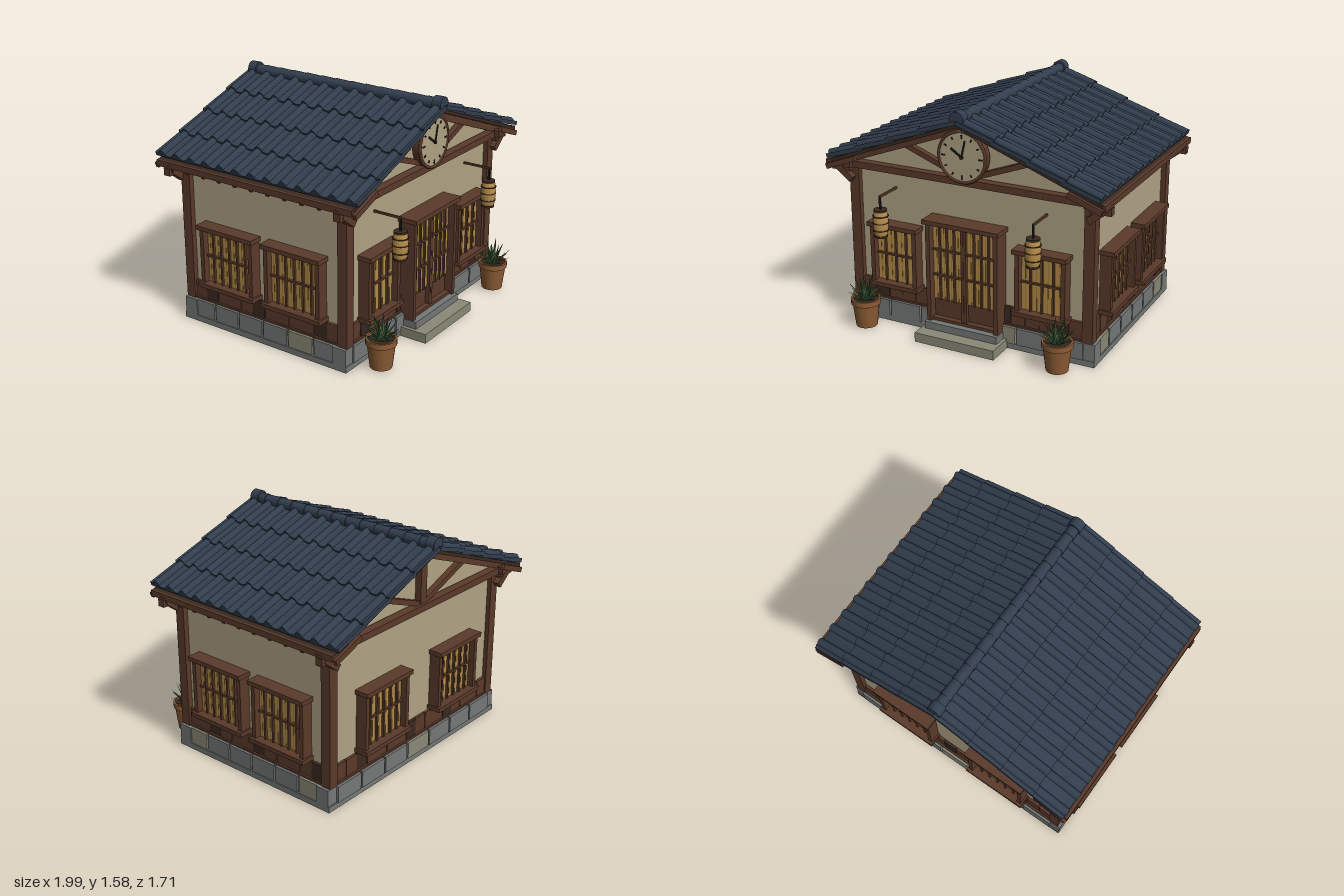
import * as THREE from 'three';
import { toCreasedNormals } from 'three/addons/utils/BufferGeometryUtils.js';

const mat = (color, side = THREE.FrontSide) => new THREE.MeshStandardMaterial({ color, side });
const M = {
  wood: mat(0x5a3a2a), dark: mat(0x3a291f), plaster: mat(0xb0a384), glass: mat(0xb48c46), glassLine: mat(0x8f6c36),
  stone: mat(0x747876), stoneLight: mat(0x8a8977), tile: mat(0x323e4e), pot: mat(0x8c5c34),
  soil: mat(0x33271d), leaf: mat(0x3f5f3a, THREE.DoubleSide), black: mat(0x1f1c1a), paper: mat(0xb98f4c),
};
const ZC = -0.06, SLOPE = Math.atan(0.375);

function add(parent, name, geo, m, x = 0, y = 0, z = 0) {
  const mesh = new THREE.Mesh(geo, m);
  mesh.name = name;
  mesh.position.set(x, y, z);
  parent.add(mesh);
  return mesh;
}
const box = (p, name, m, w, h, d, x, y, z) => add(p, name, new THREE.BoxGeometry(w, h, d), m, x, y, z);
function group(parent, name, x = 0, y = 0, z = 0, ry = 0) {
  const g = new THREE.Group();
  g.name = name;
  g.position.set(x, y, z);
  g.rotation.y = ry;
  parent.add(g);
  return g;
}
// Board between two points of an x-y plane
function beam(p, name, m, [x0, y0], [x1, y1], t, d, z) {
  const b = box(p, name, m, Math.hypot(x1 - x0, y1 - y0), t, d, (x0 + x1) / 2, (y0 + y1) / 2, z);
  b.rotation.z = Math.atan2(y1 - y0, x1 - x0);
  return b;
}

// Lattice of thin bars over a lit pane
function lattice(p, w, h, x, y, z, cols, rows) {
  box(p, 'pane', M.glass, w, h, 0.02, x, y, z);
  for (let i = 1; i < cols; i++) box(p, 'verticalBar', M.wood, 0.013, h, 0.02, x - w / 2 + (w * i) / cols, y, z + 0.015);
  for (let i = 0; i < cols; i++) box(p, 'paneSeam', M.glassLine, 0.004, h, 0.004, x - w / 2 + (w * (i + 0.5)) / cols, y, z + 0.01);
  for (let j = 1; j < rows; j++) box(p, 'horizontalBar', M.wood, w, 0.013, 0.018, x, y - h / 2 + (h * j) / rows, z + 0.017);
}

function windowUnit(wall, x, w, y0 = 0.29, y1 = 0.725, cols = 6) {
  const g = group(wall, 'window', x), h = y1 - y0, cy = (y0 + y1) / 2;
  lattice(g, w - 0.06, h - 0.04, 0, cy, 0.025, cols, 2);
  for (const s of [-1, 1]) box(g, 'jamb', M.wood, 0.03, h - 0.02, 0.08, s * (w / 2 - 0.028), cy, 0.04);
  box(g, 'header', M.wood, w, 0.03, 0.1, 0, y1 - 0.015, 0.05);
  box(g, 'sill', M.wood, w, 0.03, 0.1, 0, y0 + 0.015, 0.05);
}

// Stone course and plank skirting along one wall
function skirting(wall, w, stones, planks, seed) {
  const sw = (w + 0.03) / stones, pw = w / planks;
  for (let i = 0; i < stones; i++)
    box(wall, 'baseStone', (i * 3 + seed) % 5 === 4 ? M.stoneLight : M.stone, sw - 0.014, 0.115, 0.03, (i - (stones - 1) / 2) * sw, 0.0975, 0.033);
  for (let i = 0; i < planks; i++)
    box(wall, 'skirtingPlank', (i * 7 + seed) % 9 < 2 ? M.dark : M.wood, pw - 0.003, 0.125, 0.02, (i - (planks - 1) / 2) * pw, 0.222, 0.008 + (i % 2) * 0.003);
  box(wall, 'skirtingRail', M.wood, w, 0.012, 0.035, 0, 0.162, 0.014);
}

// Gable truss: tie beam, rafters, king post, braces and corner brackets
function truss(wall) {
  const g = group(wall, 'gableTruss');
  box(g, 'tieBeam', M.wood, 1.8, 0.045, 0.06, 0, 1.095, 0.04);
  box(g, 'kingPost', M.wood, 0.06, 0.34, 0.045, 0, 1.28, 0.028);
  for (const s of [-1, 1]) {
    beam(g, 'rafter', M.wood, [0, 1.45], [s * 0.98, 1.083], 0.05, 0.05, 0.035);
    beam(g, 'brace', M.wood, [s * 0.03, 1.12], [s * 0.44, 1.275], 0.035, 0.04, 0.026);
    beam(g, 'cornerBracket', M.wood, [s * 0.845, 0.985], [s * 0.96, 1.075], 0.045, 0.06, 0.045);
    box(g, 'beamEnd', M.wood, 0.14, 0.05, 0.05, s * 0.925, 1.065, 0.045);
  }
}

// Roof: wavy tile courses, deck, rafter tails and eave board for one slope
function roofSlope(root, s) {
  const side = group(root, 'roofSlope', 0, 1.5, ZC, s * Math.PI / 2);
  const pitch = group(side, 'pitchedRoof');
  pitch.rotation.x = SLOPE;
  const W = 1.59, P = 0.1235, R = 0.027;
  const shape = new THREE.Shape();
  shape.moveTo(-W / 2, -0.006);
  shape.lineTo(W / 2, -0.006);
  shape.lineTo(W / 2, 0.022);
  for (let i = 6; i >= -6; i--) {
    const u = i * P;
    for (let k = 0; k <= 6; k++) {
      const a = (Math.PI * k) / 6;
      shape.lineTo(u + R * Math.cos(a), 0.014 + R * Math.sin(a));
    }
    if (i > -6) shape.lineTo(u - P / 2, 0.004);
  }
  shape.lineTo(-W / 2, 0.022);
  for (let r = 0; r < 4; r++) {
    const geo = new THREE.ExtrudeGeometry(shape, { depth: r < 3 ? 0.272 : 0.257, bevelEnabled: false });
    const course = add(pitch, 'tileCourse', toCreasedNormals(geo, 0.7), M.tile, 0, 0, r * 0.255);
    course.rotation.x = -0.05;
  }
  box(pitch, 'roofDeck', M.dark, 1.54, 0.022, 1.05, 0, -0.017, 0.525);
  for (let i = -6; i <= 6; i++) box(pitch, 'rafterTail', M.wood, 0.025, 0.036, 0.24, i * 0.13, -0.046, 0.937);
  box(side, 'eaveBoard', M.wood, 1.54, 0.04, 0.045, 0, -0.39, 0.965);
  box(side, 'wallPlate', M.wood, 1.46, 0.05, 0.05, 0, -0.4, 0.855);
}

function clock(root) {
  const g = group(root, 'clock', 0, 1.268, 0.6);
  const disc = (name, r, d, m, z) => { add(g, name, new THREE.CylinderGeometry(r, r, d, 40), m, 0, 0, z).rotation.x = Math.PI / 2; };
  disc('clockBody', 0.165, 0.06, M.wood, 0.02);
  disc('clockFace', 0.157, 0.01, M.plaster, 0.049);
  add(g, 'clockRim', new THREE.TorusGeometry(0.165, 0.011, 8, 40), M.wood, 0, 0, 0.05);
  for (let i = 0; i < 12; i++) {
    const a = (i * Math.PI) / 6;
    box(g, 'hourMark', M.black, 0.009, i % 3 ? 0.018 : 0.026, 0.006, Math.sin(a) * 0.132, Math.cos(a) * 0.132, 0.056).rotation.z = -a;
  }
  beam(g, 'hourHand', M.black, [0, 0], [-0.075, 0.05], 0.014, 0.006, 0.058);
  beam(g, 'minuteHand', M.black, [0, 0], [0.025, 0.11], 0.01, 0.006, 0.06);
  disc('handPin', 0.012, 0.015, M.black, 0.058);
}

function lantern(root, s) {
  const g = group(root, 'lantern', s * 0.545, 0.775, 0.76);
  const pts = [[0, -0.088], [0.04, -0.088]];
  for (let i = 0; i <= 14; i++) {
    const t = i / 7 - 1;
    pts.push([0.052 - 0.009 * t * t - (i % 2 ? 0 : 0.003), t * 0.082]);
  }
  pts.push([0.04, 0.088], [0, 0.088]);
  add(g, 'lanternPaper', new THREE.LatheGeometry(pts.map(p => new THREE.Vector2(...p)), 20), M.paper);
  for (const e of [-1, 1]) add(g, 'lanternCap', new THREE.CylinderGeometry(0.044, 0.044, 0.014, 20), M.dark, 0, e * 0.088, 0);
  for (const y of [-0.045, 0.005, 0.05]) add(g, 'lanternBand', new THREE.CylinderGeometry(0.053, 0.053, 0.006, 20), M.dark, 0, y, 0);
  box(g, 'hanger', M.black, 0.012, 0.09, 0.012, 0, 0.135, 0);
  box(g, 'hangerArm', M.wood, 0.014, 0.014, 0.2, 0, 0.179, -0.095);
}

function pottedPlant(root, s) {
  const g = group(root, 'pottedPlant', s * 0.705, 0.008, 0.735, s);
  const pot = [[0, 0], [0.072, 0], [0.09, 0.155], [0.1, 0.16], [0.1, 0.198], [0.086, 0.198], [0.084, 0.175]];
  add(g, 'pot', toCreasedNormals(new THREE.LatheGeometry(pot.map(p => new THREE.Vector2(...p)), 24), 0.6), M.pot);
  add(g, 'soil', new THREE.CylinderGeometry(0.086, 0.086, 0.01, 24), M.soil, 0, 0.178, 0);
  // Three rings of blades, steeper towards the middle
  [[9, 1.05, 0.125], [8, 0.68, 0.15], [6, 0.25, 0.175]].forEach(([n, lean, len], ring) => {
    const geo = new THREE.ConeGeometry(0.019, len, 4).scale(1, 1, 0.35).translate(0, len / 2, 0);
    for (let i = 0; i < n; i++) {
      const stem = group(g, 'leafStem', 0, 0.18, 0, (i / n) * Math.PI * 2 + ring * 0.4);
      add(stem, 'leaf', geo, M.leaf, 0, 0, 0.012).rotation.x = lean + (i % 2) * 0.12;
    }
  });
}

export function createModel() {
  const root = new THREE.Group();
  root.name = 'house';

  // Plinth and plaster body
  box(root, 'plinth', M.stone, 1.76, 0.155, 1.3, 0, 0.0775, ZC - 0.002);
  box(root, 'plinthFooting', M.stone, 1.8, 0.04, 1.335, 0, 0.02, ZC - 0.002);
  const gable = new THREE.Shape([[-0.845, 0.15], [0.845, 0.15], [0.845, 1.135], [0, 1.455], [-0.845, 1.135]].map(p => new THREE.Vector2(...p)));
  add(root, 'walls', new THREE.ExtrudeGeometry(gable, { depth: 1.255, bevelEnabled: false }), M.plaster, 0, 0, -0.69);
  for (const x of [-0.845, 0.845]) for (const z of [0.565, -0.685]) {
    box(root, 'cornerPost', M.wood, 0.072, 0.945, 0.07, x, 0.628, z);
    box(root, 'postFoot', M.stone, 0.11, 0.155, 0.1, x, 0.0775, z - Math.sign(z + 0.06) * 0.013);
  }

  // Walls, each with its outward direction as local z
  const front = group(root, 'frontWall', 0, 0, 0.565);
  const back = group(root, 'backWall', 0, 0, -0.69, Math.PI);
  for (const w of [front, back]) {
    skirting(w, 1.63, 7, 16, w === front ? 2 : 5);
    truss(w);
  }
  for (const s of [-1, 1]) {
    windowUnit(front, s * 0.535, 0.375, 0.27, 0.72, 4);
    windowUnit(back, s * 0.38, 0.46);
    const wall = group(root, 'sideWall', s * 0.845, 0, ZC, s * Math.PI / 2);
    skirting(wall, 1.19, 6, 12, 3 + s);
    for (const x of [-0.265, 0.265]) windowUnit(wall, x, 0.46);
  }

  // Sliding door
  const door = group(front, 'door');
  box(door, 'doorPanel', M.wood, 0.5, 0.69, 0.05, 0, 0.46, 0.035);
  for (const s of [-1, 1]) {
    lattice(door, 0.21, 0.53, s * 0.125, 0.525, 0.06, 4, 3);
    box(door, 'doorJamb', M.wood, 0.03, 0.69, 0.12, s * 0.245, 0.46, 0.06);
    box(door, 'leafStile', M.wood, 0.018, 0.69, 0.03, s * 0.01, 0.46, 0.075);
  }
  box(door, 'doorLintel', M.wood, 0.55, 0.03, 0.14, 0, 0.81, 0.07);
  box(door, 'threshold', M.wood, 0.5, 0.02, 0.1, 0, 0.125, 0.05);

  // Entrance steps
  box(root, 'lowerStep', M.stoneLight, 0.58, 0.065, 0.25, 0, 0.0325, 0.675);
  box(root, 'upperStep', M.stone, 0.53, 0.05, 0.15, 0, 0.09, 0.635);

  // Roof and ridge
  for (const s of [-1, 1]) {
    roofSlope(root, s);
    lantern(root, s);
    pottedPlant(root, s);
    const end = add(root, 'ridgeEnd', new THREE.CylinderGeometry(0.048, 0.048, 0.065, 20), M.tile, 0, 1.527, ZC + s * 0.745);
    end.rotation.x = Math.PI / 2;
  }
  for (let i = -6; i <= 6; i++) {
    const ridge = add(root, 'ridgeTile', new THREE.CylinderGeometry(0.036, 0.04, 0.122, 16), M.tile, 0, 1.522, ZC + i * 0.119);
    ridge.rotation.x = Math.PI / 2;
  }

  clock(root);
  return root;
}
